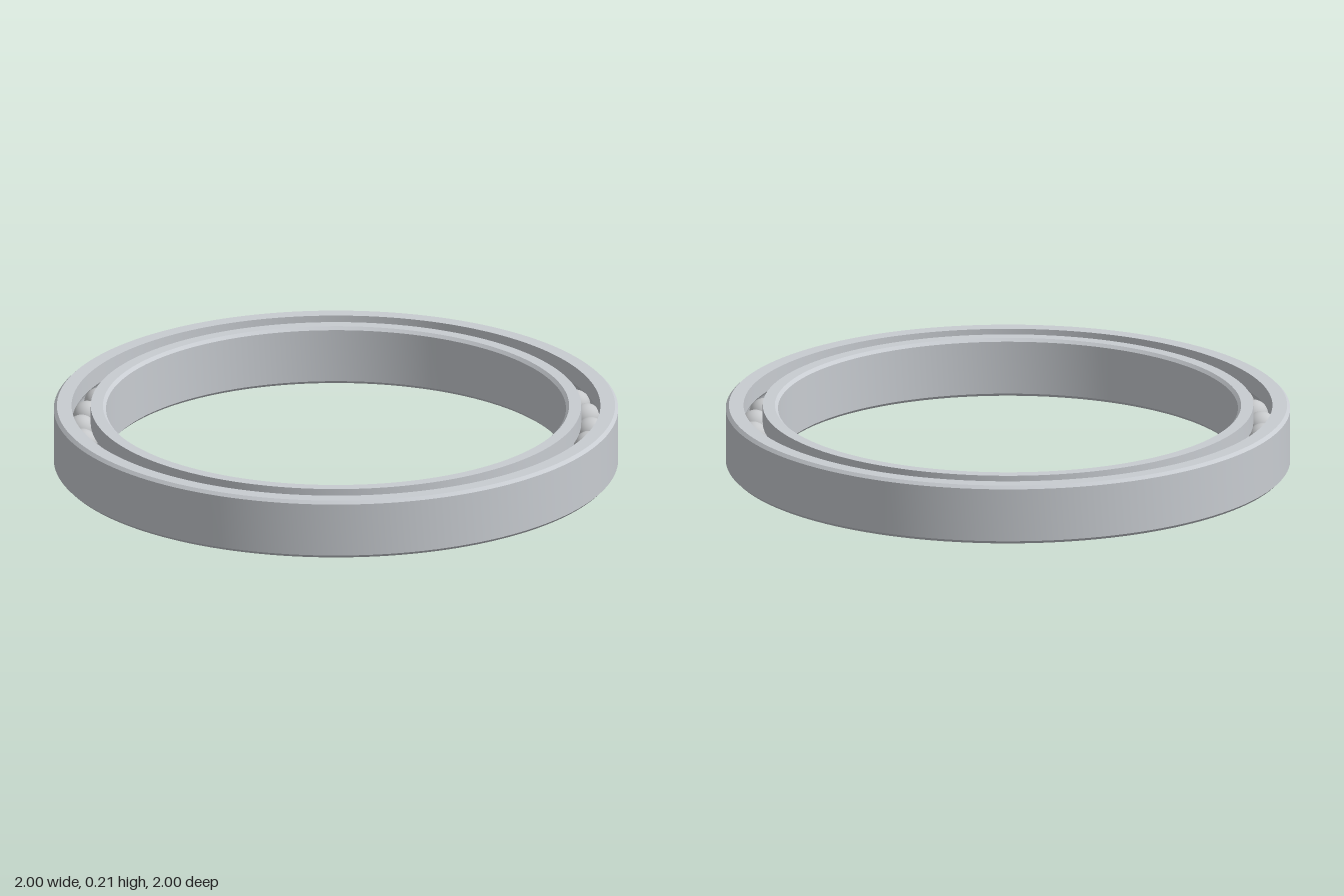
import * as THREE from 'three';
import { toCreasedNormals } from 'three/addons/utils/BufferGeometryUtils.js';

const HEIGHT = 0.214, MID = HEIGHT / 2;
const OUTER = 1, OUTER_SHOULDER = 0.937;    // outer ring radii
const BORE = 0.815, INNER_SHOULDER = 0.869; // inner ring radii
const PITCH = 0.903, BALL = 0.0525, GROOVE = 0.0535, BALLS = 39;
const CHAMFER = 0.011;

// Revolve a closed counter-clockwise section, keeping its corners sharp
function revolve(section) {
  return toCreasedNormals(new THREE.LatheGeometry(section.getPoints(5), 144), 0.5);
}

// Outer ring: chamfered outside edges, ball groove on the inside
function outerSection() {
  const a = Math.acos((OUTER_SHOULDER - PITCH) / GROOVE);
  const p = new THREE.Path();
  p.moveTo(OUTER_SHOULDER, 0);
  p.lineTo(OUTER - CHAMFER, 0);
  p.lineTo(OUTER, CHAMFER);
  p.lineTo(OUTER, HEIGHT - CHAMFER);
  p.lineTo(OUTER - CHAMFER, HEIGHT);
  p.lineTo(OUTER_SHOULDER, HEIGHT);
  p.absarc(PITCH, MID, GROOVE, a, -a, true);
  p.lineTo(OUTER_SHOULDER, 0);
  return p;
}

// Inner ring: chamfered bore edges, ball groove on the outside
function innerSection() {
  const a = Math.acos((PITCH - INNER_SHOULDER) / GROOVE);
  const p = new THREE.Path();
  p.moveTo(INNER_SHOULDER, HEIGHT);
  p.lineTo(BORE + CHAMFER, HEIGHT);
  p.lineTo(BORE, HEIGHT - CHAMFER);
  p.lineTo(BORE, CHAMFER);
  p.lineTo(BORE + CHAMFER, 0);
  p.lineTo(INNER_SHOULDER, 0);
  p.absarc(PITCH, MID, GROOVE, Math.PI + a, Math.PI - a, true);
  p.lineTo(INNER_SHOULDER, HEIGHT);
  return p;
}

export function createModel() {
  const steel = new THREE.MeshStandardMaterial({ color: 0xc8ccd1 });
  steel.name = 'ring steel';
  const ballSteel = new THREE.MeshStandardMaterial({ color: 0xc6c8ca });
  ballSteel.name = 'ball steel';

  const model = new THREE.Group();
  model.name = 'ballBearing';

  const outerRing = new THREE.Mesh(revolve(outerSection()), steel);
  outerRing.name = 'outerRing';
  const innerRing = new THREE.Mesh(revolve(innerSection()), steel);
  innerRing.name = 'innerRing';
  model.add(outerRing, innerRing);

  // Balls evenly spaced around the groove, the first one on +x
  const balls = new THREE.Group();
  balls.name = 'balls';
  const sphere = new THREE.SphereGeometry(BALL, 28, 18);
  for (let i = 0; i < BALLS; i++) {
    const t = (i / BALLS) * Math.PI * 2;
    const ball = new THREE.Mesh(sphere, ballSteel);
    ball.name = 'ball' + (i + 1);
    ball.position.set(PITCH * Math.cos(t), MID, PITCH * Math.sin(t));
    balls.add(ball);
  }
  model.add(balls);
  return model;
}
